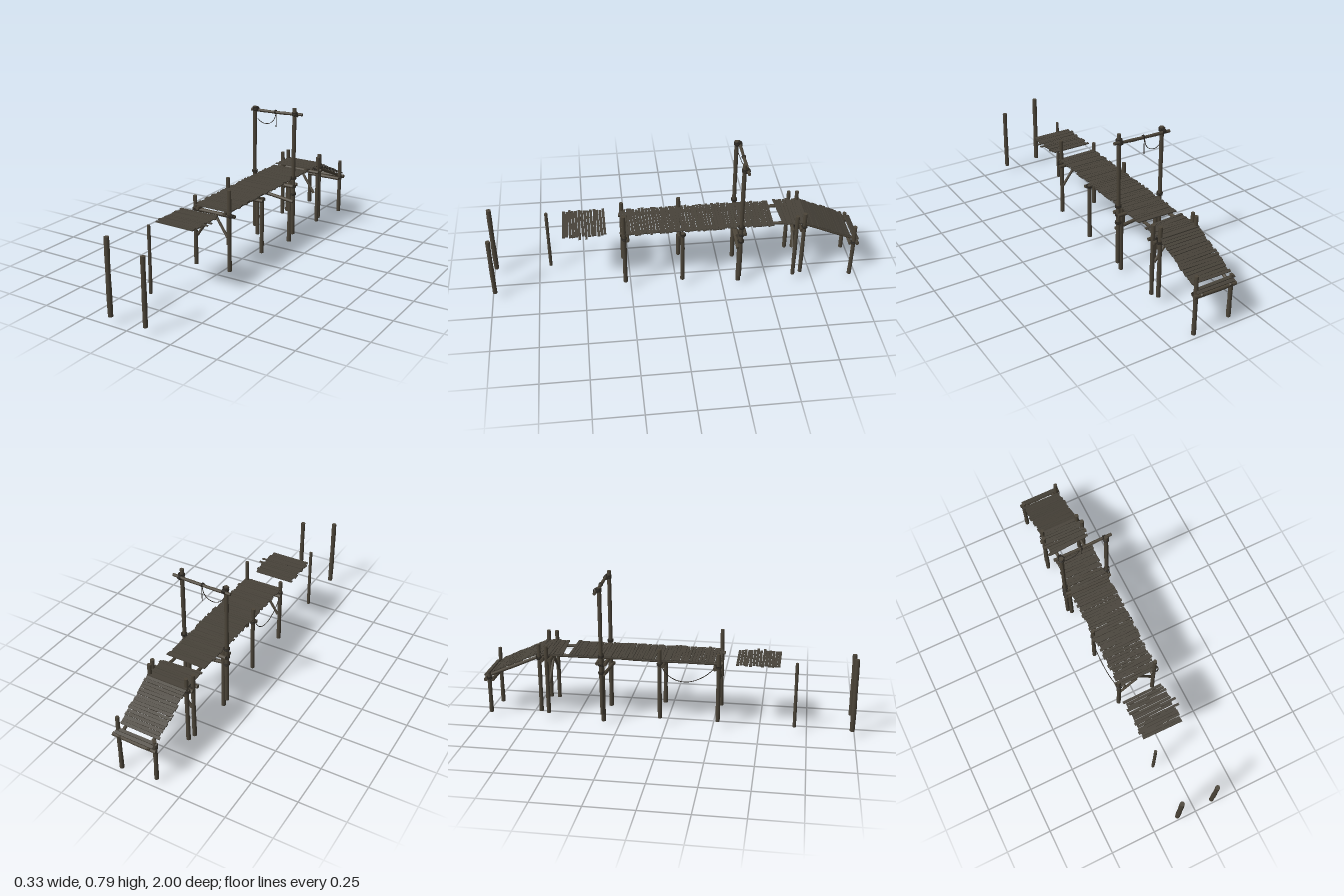
import * as THREE from 'three';

const wood = new THREE.MeshStandardMaterial({ name: 'weathered wood', color: 0x4b4438 });
const plankWood = new THREE.MeshStandardMaterial({ name: 'plank wood', color: 0x48433a });
const ropeFibre = new THREE.MeshStandardMaterial({ name: 'dark rope', color: 0x2d2923 });
const V = (x, y, z) => new THREE.Vector3(x, y, z);

export function createModel() {
  const root = new THREE.Group();
  root.name = 'pier';
  let seed = 17;
  const rnd = () => (seed = (seed * 16807) % 2147483647) / 2147483647;
  const jit = (a) => (rnd() * 2 - 1) * a;

  function add(name, geo, mat) {
    const m = new THREE.Mesh(geo, mat);
    m.name = name;
    root.add(m);
    return m;
  }

  // Rough log between two points, slightly bowed and knotty
  function log(name, a, b, r) {
    const len = a.distanceTo(b);
    const geo = new THREE.CylinderGeometry(r * 0.95, r, len, 10, 6);
    const p = geo.attributes.position;
    const bx = jit(0.12) * r, bz = jit(0.12) * r, ph = rnd() * 6;
    for (let i = 0; i < p.count; i++) {
      const t = p.getY(i) / len + 0.5;
      const k = 1 + 0.06 * Math.sin(t * 11 + ph);
      const s = Math.sin(t * Math.PI);
      p.setX(i, p.getX(i) * k + bx * s);
      p.setZ(i, p.getZ(i) * k + bz * s);
    }
    geo.computeVertexNormals();
    const m = add(name, geo, wood);
    m.position.copy(a).lerp(b, 0.5);
    m.quaternion.setFromUnitVectors(V(0, 1, 0), b.clone().sub(a).normalize());
    return m;
  }
  const post = (name, x, z, y0, y1, r = 0.012) =>
    log(name, V(x, y0, z), V(x + jit(0.002), y1, z), r);

  // Rope wound around a log
  function lashing(x, y, z, r, axis = 'y', turns = 3) {
    for (let i = 0; i < turns; i++) {
      const m = add('lashing', new THREE.TorusGeometry(r, 0.0025, 5, 14), ropeFibre);
      const o = (i - (turns - 1) / 2) * 0.005;
      m.position.set(x + (axis === 'x' ? o : 0), y + (axis === 'y' ? o : 0), z);
      if (axis === 'y') m.rotation.x = Math.PI / 2 + jit(0.12);
      else m.rotation.y = Math.PI / 2 + jit(0.12);
    }
  }

  function rope(name, points, r) {
    const c = new THREE.CatmullRomCurve3(points);
    add(name, new THREE.TubeGeometry(c, 28, r, 6), ropeFibre);
  }

  // Row of uneven planks from one end to the other
  function planks(name, z0, y0, z1, y1, n, xc, skip = []) {
    const slope = Math.atan2(y1 - y0, z0 - z1);
    const pitch = Math.hypot(z1 - z0, y1 - y0) / n;
    for (let i = 0; i < n; i++) {
      const left = xc - 0.112 + jit(0.007), right = xc + 0.112 + jit(0.007);
      const depth = pitch * (0.9 + jit(0.07)), yaw = jit(0.02);
      if (skip.includes(i)) continue;
      const t = (i + 0.5) / n;
      const m = add(name, new THREE.BoxGeometry(right - left, 0.006, depth), plankWood);
      m.position.set((left + right) / 2, y0 + (y1 - y0) * t + jit(0.001), z0 + (z1 - z0) * t);
      m.rotation.set(slope + jit(0.03), yaw, jit(0.008));
    }
  }

  // Free-standing piles at the front
  post('frontPile', -0.105, 0.985, 0.04, 0.44, 0.0135);
  post('frontPile', 0.1, 0.985, 0.04, 0.39, 0.0125);
  post('lonePile', -0.1, 0.685, 0.04, 0.4, 0.009);

  // Deck piles: x, z, bottom, top
  [
    [-0.108, 0.28, 0.05, 0.43], [0.1, 0.28, 0.055, 0.495],
    [-0.108, -0.03, 0.05, 0.44], [0.105, -0.03, 0.05, 0.365],
    [-0.115, -0.64, 0.045, 0.43], [0.117, -0.64, 0.04, 0.435],
    [-0.106, -0.683, 0.05, 0.435], [0.106, -0.683, 0.045, 0.44],
    [-0.104, -0.968, 0.025, 0.265], [0.1, -0.968, 0, 0.325],
  ].forEach(([x, z, y0, y1]) => post('pile', x, z, y0, y1, 0.0115));

  // Lengthwise stringers, level then down the ramp
  for (const x of [-0.085, 0.08]) {
    log('stringer', V(x, 0.369, 0.3), V(x, 0.369, -0.2), 0.0095);
    log('stringer', V(x * 0.86, 0.368, -0.17), V(x * 0.97, 0.368, -0.705), 0.0095);
    log('rampStringer', V(x, 0.366, -0.67), V(x, 0.224, -0.995), 0.0095);
  }

  // Cross beams with lashed ends
  [
    [0.262, 0.35, 0.122], [-0.012, 0.35, 0.122], [-0.318, 0.352, 0.135],
    [-0.36, 0.35, 0.135], [-0.622, 0.35, 0.132], [-0.663, 0.352, 0.13],
    [-0.984, 0.222, 0.122], [-0.95, 0.215, 0.105],
  ].forEach(([z, y, w]) => log('crossBeam', V(-w, y + jit(0.003), z), V(w, y + jit(0.003), z), 0.0105));
  for (const s of [-1, 1]) {
    for (const z of [0.28, -0.03, -0.64, -0.683]) lashing(s * 0.107, 0.358, z, 0.0145);
    lashing(s * 0.103, 0.225, -0.968, 0.0145);
  }

  // Knee braces on the end frames
  for (const z of [0.275, -0.632]) {
    for (const s of [-1, 1])
      log('brace', V(s * 0.1, 0.215, z), V(s * 0.006, 0.345, z - 0.006 * s), 0.0075);
  }

  // Gate: tall posts, short support piles, top beam and a slanting tie
  [[-0.128, 0.77], [0.123, 0.79]].forEach(([x, top]) => {
    post('gatePost', x, -0.34, 0.06, top, 0.0115);
    post('gateSupport', x * 0.83, -0.338, 0.012, 0.375, 0.0125);
    for (const y of [0.393, 0.345, 0.3]) lashing(x, y, -0.34, 0.0145);
    lashing(x, 0.757, -0.343, 0.0145, 'y', 4);
    lashing(x, 0.751, -0.357, 0.0115, 'x', 4);
  });
  log('gateBeam', V(-0.163, 0.745, -0.358), V(0.01, 0.747, -0.358), 0.0085);
  log('gateBeam', V(0, 0.747, -0.358), V(0.162, 0.755, -0.358), 0.0085);
  log('gateTie', V(-0.135, 0.292, -0.325), V(0.13, 0.258, -0.325), 0.01);

  // Decks
  planks('deckPlank', 0.29, 0.382, -0.7, 0.382, 60, 0, [49, 50, 51]);
  planks('rampPlank', -0.695, 0.378, -0.995, 0.242, 19, -0.003, [16]);
  planks('loosePlank', 0.6, 0.383, 0.37, 0.383, 14, -0.015);
  [0.51, 0.475].forEach((z) => {
    const m = add('stickingPlank', new THREE.BoxGeometry(0.16, 0.005, 0.012), plankWood);
    m.position.set(0.045, 0.384, z);
  });
  const askew = add('askewPlank', new THREE.BoxGeometry(0.22, 0.006, 0.014), plankWood);
  askew.position.set(-0.005, 0.383, -0.565);
  askew.rotation.y = 0.07;

  // Hanging ropes
  rope('sideRope', [V(-0.118, 0.365, 0.27), V(-0.12, 0.312, 0.215), V(-0.121, 0.28, 0.155),
    V(-0.121, 0.27, 0.105), V(-0.121, 0.281, 0.05), V(-0.12, 0.312, 0.005), V(-0.118, 0.36, -0.025)], 0.002);
  rope('gateRope', [V(-0.118, 0.7, -0.35), V(-0.1, 0.681, -0.358), V(-0.072, 0.673, -0.362),
    V(-0.04, 0.682, -0.364), V(-0.018, 0.708, -0.366), V(-0.008, 0.752, -0.367)], 0.0018);
  rope('gateRopeEnd', [V(-0.008, 0.756, -0.367), V(-0.007, 0.71, -0.367), V(-0.008, 0.66, -0.366)], 0.002);
  lashing(-0.008, 0.749, -0.358, 0.0095, 'x', 2);

  return root;
}
